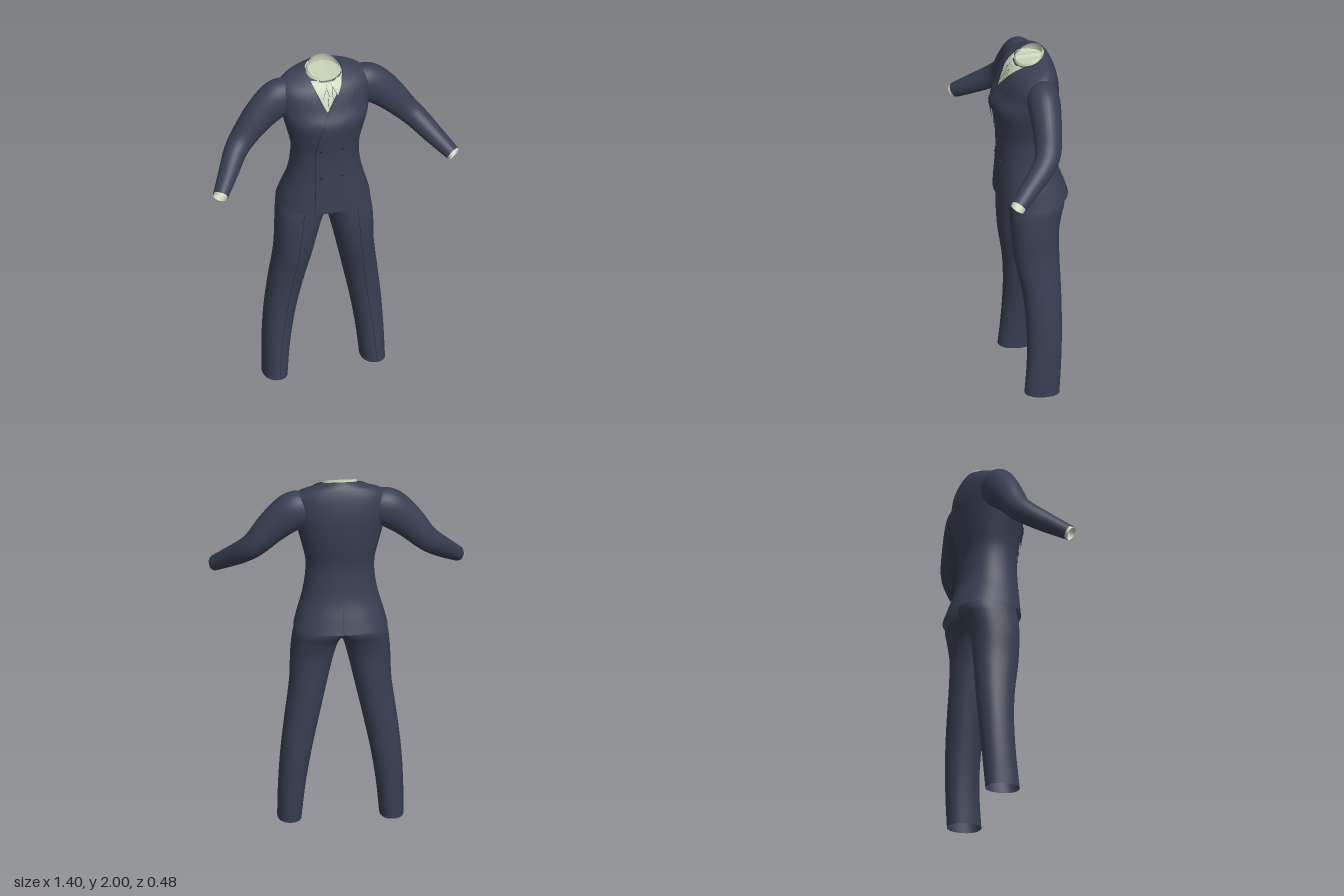
import * as THREE from 'three';

const V = (x, y, z) => new THREE.Vector3(x, y, z);
const material = (name, color) => {
  const m = new THREE.MeshStandardMaterial({ color, side: THREE.DoubleSide });
  m.name = name;
  return m;
};

// Smoothly resamples rows of numbers into n + 1 rows
function resample(rows, n) {
  const columns = rows[0].map((_, c) => new THREE.SplineCurve(rows.map(r => new THREE.Vector2(r[c], 0))));
  return Array.from({ length: n + 1 }, (_, i) => columns.map(c => c.getPoint(i / n).x));
}

// Skin over a grid of points; closed rings wrap around
function skin(rings, closed) {
  const count = rings[0].length, index = [];
  for (let i = 0; i < rings.length - 1; i++) {
    for (let j = 0; j < (closed ? count : count - 1); j++) {
      const k = (j + 1) % count, a = i * count, b = a + count;
      index.push(a + j, b + j, a + k, b + j, b + k, a + k);
    }
  }
  const g = new THREE.BufferGeometry().setFromPoints(rings.flat());
  g.setIndex(index);
  g.computeVertexNormals();
  return g;
}

const SIDES = 40;
const power = (v, n) => Math.sign(v) * Math.pow(Math.abs(v), 2 / n);

// Rows: front y, back y, left x, right x, front z, back z, roundness
function bodyLoft(rows, n) {
  return skin(resample(rows, n).map(([yf, yb, x0, x1, zf, zb, e]) =>
    Array.from({ length: SIDES }, (_, j) => {
      const a = j / SIDES * Math.PI * 2, s = power(Math.sin(a), e), c = power(Math.cos(a), e);
      return V((x0 + x1) / 2 + (x1 - x0) / 2 * c, (yf + yb) / 2 + (yf - yb) / 2 * s, (zf + zb) / 2 + (zf - zb) / 2 * s);
    })), true);
}

// Rows: centre x, y, z, radius across the arm, radius in depth
function tubeLoft(rows, n, side) {
  const path = resample(rows, n).map(r => [V(r[0] * side, r[1], r[2]), r[3], r[4]]);
  return skin(path.map(([p, r, d], i) => {
    const t = path[Math.min(i + 1, path.length - 1)][0].clone().sub(path[Math.max(i - 1, 0)][0]).normalize();
    const b = V(0, 0, 1).addScaledVector(t, -t.z).normalize();
    const across = t.clone().cross(b);
    return Array.from({ length: 28 }, (_, j) => {
      const a = j / 28 * Math.PI * 2;
      return p.clone().addScaledVector(across, r * Math.cos(a)).addScaledVector(b, d * Math.sin(a));
    });
  }), true);
}

// Drops a flat x, y point onto a mesh from the front (dir 1) or back (dir -1)
function project(target, x, y, lift, dir = 1) {
  for (let k = 0; k < 30; k++) {
    const ray = new THREE.Raycaster(V(x, y - k * 0.004, 2 * dir), V(0, 0, -dir));
    const hit = ray.intersectObject(target)[0];
    if (hit) return hit.point.add(V(0, 0, lift * dir));
  }
  return V(x, y, 0);
}

// Point at fraction t of a polyline of [x, y] pairs
function along(points, t) {
  const f = t * (points.length - 1), i = Math.min(Math.floor(f), points.length - 2), k = f - i;
  return [0, 1].map(c => points[i][c] * (1 - k) + points[i + 1][c] * k);
}

// Thin cloth between a left and a right edge, laid on a mesh
function patch(target, left, right, lift, rows = 24, cols = 8) {
  return skin(Array.from({ length: rows + 1 }, (_, i) => {
    const a = along(left, 1 - i / rows), b = along(right, 1 - i / rows);
    return Array.from({ length: cols + 1 }, (_, j) => {
      const k = 1 - j / cols;
      return project(target, a[0] * (1 - k) + b[0] * k, a[1] * (1 - k) + b[1] * k, lift);
    });
  }), false);
}

// Narrow stitched line laid on a mesh
function seam(target, points, lift = 0.003, dir = 1, steps = 30, half = 0.0016) {
  return skin(Array.from({ length: steps + 1 }, (_, i) => {
    const [x, y] = along(points, 1 - i / steps);
    return [half, -half].map(o => project(target, x + o * dir, y, lift, dir));
  }), false);
}

export function createModel() {
  const group = new THREE.Group();
  const navy = material('navy cloth', 0x383f52);
  const pale = material('pale green shirt', 0xc8d2b8);
  const dark = material('dark stitching', 0x20242f);
  const add = (name, geometry, mat) => {
    const m = new THREE.Mesh(geometry, mat);
    m.name = name;
    m.updateMatrixWorld();
    group.add(m);
    return m;
  };

  // Jacket body from hem to neck
  const w = (yf, yb, half, zf, zb, e) => [yf, yb, -half, half, zf, zb, e];
  const jacket = add('jacketBody', bodyLoft([
    w(1.12, 1.135, 0.256, 0.15, -0.237, 2.4),
    w(1.2, 1.21, 0.236, 0.148, -0.212, 2.3),
    w(1.3, 1.3, 0.208, 0.145, -0.182, 2.2),
    w(1.4, 1.4, 0.19, 0.141, -0.166, 2.2),
    w(1.5, 1.5, 0.188, 0.145, -0.161, 2.2),
    w(1.6, 1.6, 0.21, 0.158, -0.175, 2.2),
    w(1.69, 1.7, 0.235, 0.168, -0.186, 2.2),
    w(1.77, 1.8, 0.252, 0.13, -0.187, 2.2),
    w(1.845, 1.89, 0.258, 0.098, -0.17, 2.2),
    w(1.885, 1.945, 0.222, 0.077, -0.15, 2.1),
    w(1.907, 1.972, 0.155, 0.06, -0.132, 2),
    w(1.925, 1.987, 0.103, 0.042, -0.116, 2),
  ], 60), navy);

  // Shirt collar band
  add('shirtCollar', bodyLoft([
    w(1.9, 1.955, 0.099, 0.044, -0.112, 2),
    w(1.918, 1.98, 0.097, 0.042, -0.112, 2),
    w(1.936, 2.0, 0.088, 0.036, -0.108, 2),
  ], 6), pale);

  // Shirt front in the neck opening
  const vee = [-0.03, 1.775];
  add('shirtFront', patch(jacket, [[-0.098, 1.945], vee], [[0.098, 1.945], vee], 0.004, 20, 12), pale);

  // Collar points and tie
  for (const s of [-1, 1]) {
    add('collarPoint', patch(jacket,
      [[0.012 * s, 1.918], [0.045 * s, 1.85]], [[0.085 * s, 1.932], [0.047 * s, 1.85]], 0.009, 8, 4), pale);
    add('collarPointEdge', seam(jacket, [[0.012 * s, 1.912], [0.045 * s, 1.85]], 0.0105, 1, 10, 0.001), dark);
    add('tieEdge', seam(jacket, [[0.016 * s, 1.9], [0.009 * s, 1.865], [0.02 * s - 0.003, 1.81]], 0.011, 1, 12, 0.001), dark);
  }
  add('tie', patch(jacket, [[-0.017, 1.91], [-0.009, 1.865], [-0.026, 1.785]],
    [[0.017, 1.91], [0.009, 1.865], [-0.02, 1.785]], 0.009, 12, 4), pale);

  // Lapels, the left one lying over the right
  const rightInner = [[-0.103, 1.95], [-0.068, 1.86], [-0.03, 1.775], [-0.018, 1.745]];
  const rightOuter = [[-0.135, 1.945], [-0.15, 1.86], [-0.115, 1.78], [-0.06, 1.7]];
  const leftInner = [[0.103, 1.95], [0.04, 1.855], [-0.03, 1.77], [-0.08, 1.66], [-0.097, 1.545]];
  const leftOuter = [[0.135, 1.945], [0.15, 1.86], [0.09, 1.76], [0, 1.65], [-0.094, 1.545]];
  add('rightLapel', patch(jacket, rightOuter, rightInner, 0.007), navy);
  add('leftLapel', patch(jacket, leftInner, leftOuter, 0.01), navy);
  add('leftLapelEdge', seam(jacket, leftInner, 0.0115), dark);
  add('rightLapelEdge', seam(jacket, rightInner.slice(0, 3), 0.0085), dark);
  for (const s of [-1, 1]) {
    add('lapelNotch', seam(jacket, [[0.115 * s, 1.9], [0.148 * s, 1.862], [0.1 * s, 1.775]], 0.0115, 1, 16, 0.001), dark);
  }

  // Front closing edge, back vent and buttons
  add('frontEdge', seam(jacket, [[-0.097, 1.545], [-0.1, 1.125]]), dark);
  add('backVent', seam(jacket, [[0, 1.27], [0, 1.14]], 0.003, -1), dark);
  for (const [x, y] of [[-0.068, 1.53], [0.052, 1.53], [-0.066, 1.35], [0.052, 1.35]]) {
    const button = add('button', new THREE.CylinderGeometry(0.006, 0.006, 0.006, 12).rotateX(Math.PI / 2), dark);
    button.position.copy(project(jacket, x, y, 0.002));
  }

  for (const s of [-1, 1]) {
    const label = s > 0 ? 'left' : 'right';

    // Sleeve, bent forward at the elbow
    add(label + 'Sleeve', tubeLoft([
      [0.17, 1.825, -0.05, 0.085, 0.075],
      [0.225, 1.815, -0.051, 0.105, 0.087],
      [0.28, 1.79, -0.048, 0.107, 0.088],
      [0.37, 1.712, -0.038, 0.091, 0.08],
      [0.46, 1.61, -0.02, 0.071, 0.072],
      [0.52, 1.55, 0.022, 0.063, 0.064],
      [0.585, 1.483, 0.105, 0.054, 0.055],
      [0.66, 1.41, 0.2, 0.041, 0.045],
    ], 40, s), navy);

    // Shirt cuff showing at the wrist
    add(label + 'Cuff', tubeLoft([
      [0.64, 1.428, 0.175, 0.037, 0.04],
      [0.668, 1.402, 0.21, 0.036, 0.04],
    ], 3, s), pale);

    // Trouser leg from ankle to waist
    const leg = add(label + 'TrouserLeg', bodyLoft([
      [0.012, 0, 0.212, 0.343, 0.062, -0.13, 2.2],
      [0.2, 0.2, 0.192, 0.34, 0.045, -0.143, 2.2],
      [0.4, 0.4, 0.16, 0.328, 0.04, -0.152, 2.2],
      [0.6, 0.6, 0.118, 0.305, 0.055, -0.156, 2.2],
      [0.8, 0.8, 0.073, 0.278, 0.09, -0.156, 2.2],
      [0.95, 0.95, 0.038, 0.272, 0.103, -0.158, 2.3],
      [1.05, 1.05, 0.006, 0.264, 0.104, -0.178, 2.4],
      [1.12, 1.12, -0.055, 0.252, 0.102, -0.2, 2.4],
      [1.22, 1.22, -0.09, 0.215, 0.1, -0.18, 2.4],
    ].map(([yf, yb, a, b, ...rest]) => s > 0 ? [yf, yb, a, b, ...rest] : [yf, yb, -b, -a, ...rest]), 48), navy);

    // Pressed crease
    add(label + 'Crease', seam(leg,
      [[0.15 * s, 1.11], [0.175 * s, 0.85], [0.222 * s, 0.5], [0.258 * s, 0.25], [0.277 * s, 0.02]], 0.002, 1, 60, 0.0013), dark);
  }
  return group;
}
